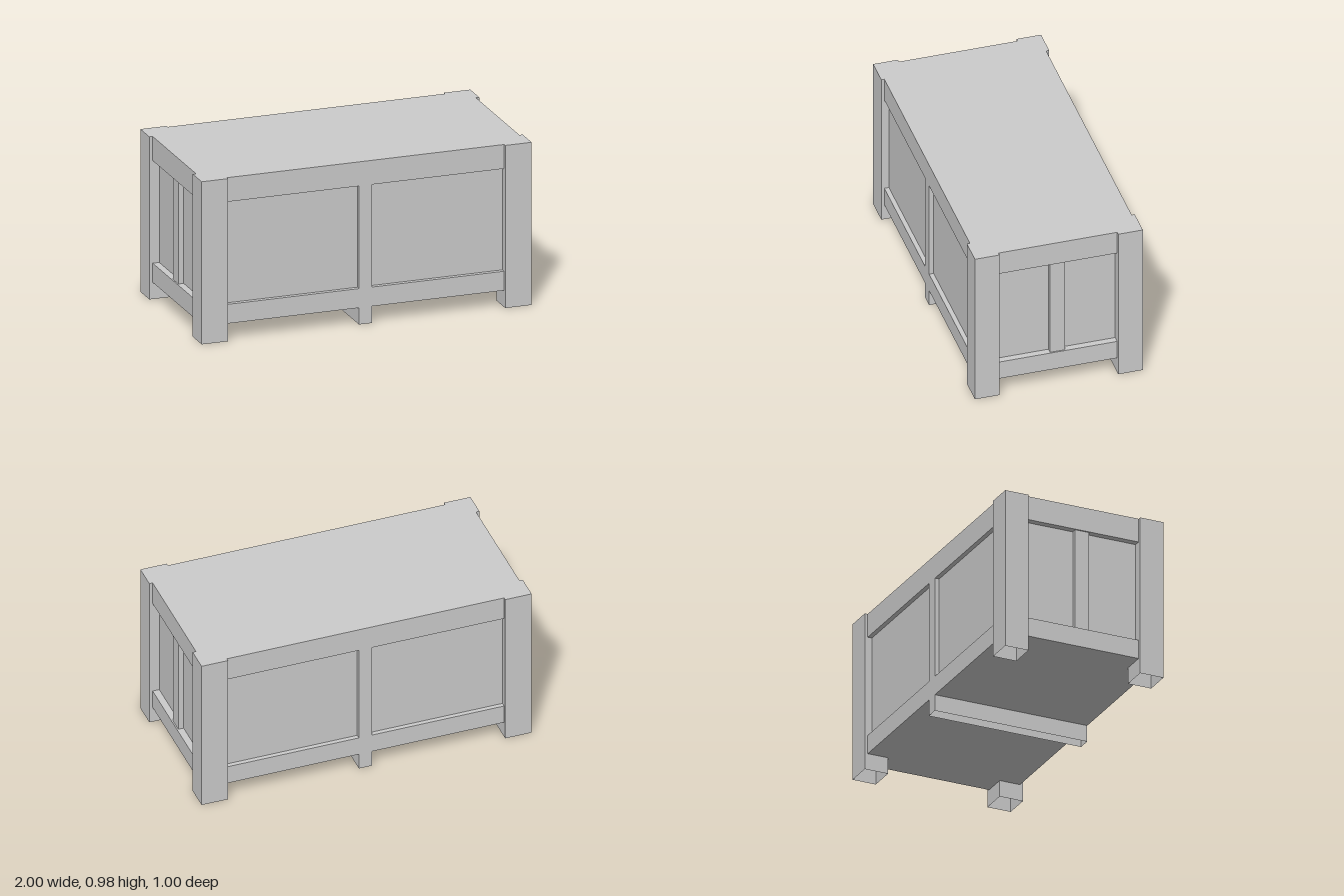
import * as THREE from 'three';

const material = new THREE.MeshStandardMaterial({ color: 0xcccccc, flatShading: true, side: THREE.DoubleSide });

// Main levels and half extents
const TOP = 0.975, FLOOR = 0.1, LOW = 0.215, HIGH = 0.83;
const POST_X = 0.84, POST_Z = 0.352;     // inner edges of the corner posts
const RAIL_X = 0.98, RAIL_Z = 0.48;      // outer faces of the rails
const PANEL_X = 0.94, PANEL_Z = 0.453;   // recessed panel faces

export function createModel() {
  const group = new THREE.Group();

  // Box between two corners, optionally hollow from below
  function box(name, [x0, y0, z0], [x1, y1, z1], openBelow = false) {
    const geometry = new THREE.BoxGeometry(Math.abs(x1 - x0), y1 - y0, Math.abs(z1 - z0));
    if (openBelow) {
      const index = Array.from(geometry.index.array);
      index.splice(18, 6); // drop the underside
      geometry.setIndex(index);
      geometry.clearGroups();
    }
    const mesh = new THREE.Mesh(geometry, material);
    mesh.name = name;
    mesh.position.set((x0 + x1) / 2, (y0 + y1) / 2, (z0 + z1) / 2);
    group.add(mesh);
  }

  // Chest body: two crossing blocks whose sides are the recessed panels
  box('longPanels', [-POST_X, FLOOR, -PANEL_Z], [POST_X, TOP, PANEL_Z]);
  box('endPanels', [-PANEL_X, FLOOR, -POST_Z], [PANEL_X, TOP, POST_Z]);

  // Corner posts, hollow at the foot
  for (const sx of [-1, 1]) {
    for (const sz of [-1, 1]) {
      box('cornerPost', [sx * POST_X, 0, sz * POST_Z], [sx, TOP, sz * 0.498], true);
    }
  }

  for (const s of [-1, 1]) {
    // Top and bottom rails on each side
    for (const [name, y0, y1] of [['bottomRail', FLOOR, LOW], ['topRail', HIGH, TOP]]) {
      box(name, [-POST_X, y0, s * PANEL_Z], [POST_X, y1, s * RAIL_Z]);
      box(name, [s * PANEL_X, y0, -POST_Z], [s * RAIL_X, y1, POST_Z]);
    }
    // Upright stiles dividing the panels
    box('longSideStile', [-0.04, LOW, s * PANEL_Z], [0.04, HIGH, s * RAIL_Z]);
    box('endStile', [s * PANEL_X, LOW, -0.044], [s * 0.972, HIGH, 0.044]);
  }

  // Runner under the middle of the floor
  box('centreRunner', [-0.04, 0, -RAIL_Z], [0.04, FLOOR, RAIL_Z], true);

  return group;
}
